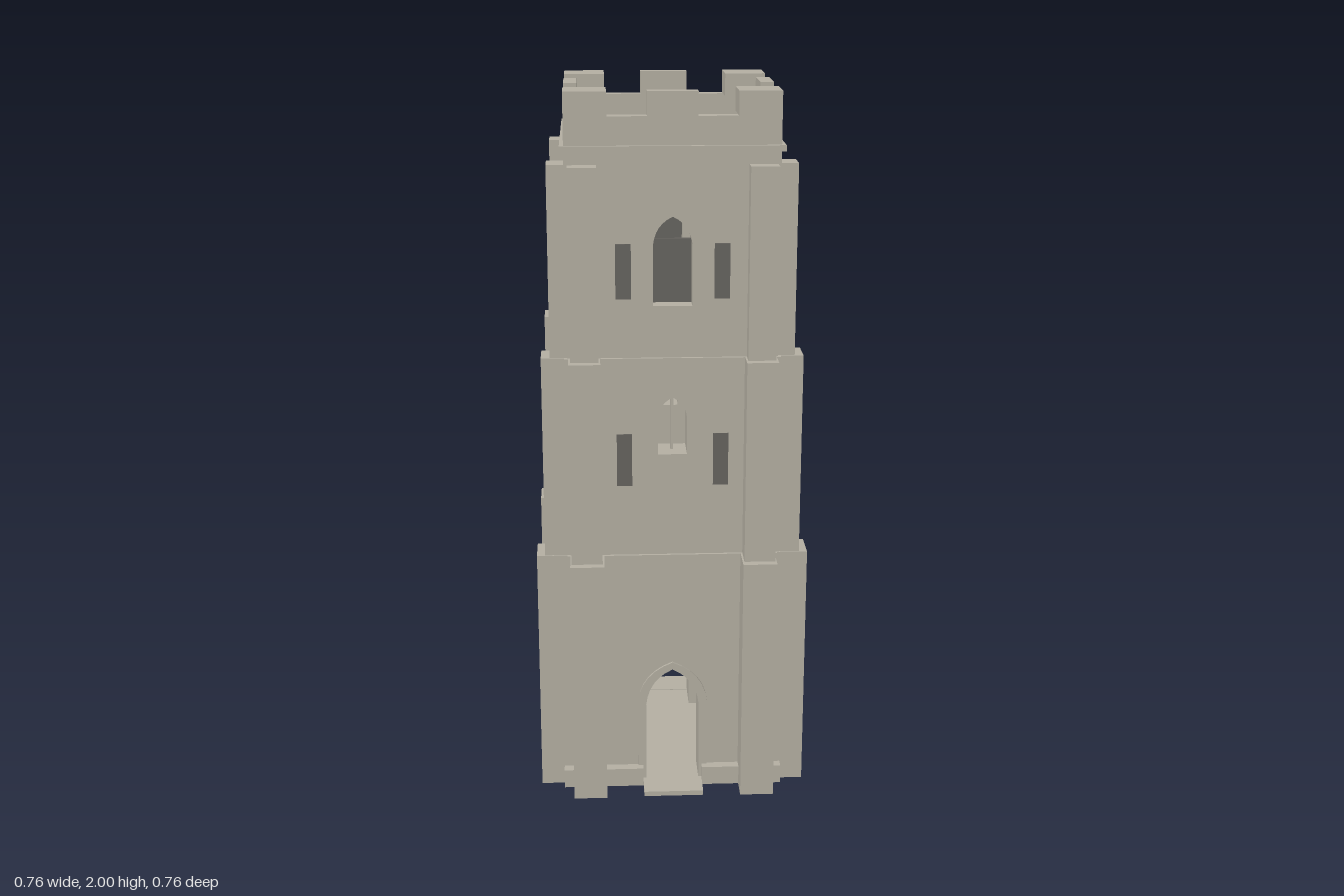
import * as THREE from 'three';

const stone = new THREE.MeshStandardMaterial({ color: 0xb4afa2 });
stone.name = 'stone';
const dark = new THREE.MeshStandardMaterial({ color: 0x66645f });
dark.name = 'dark slate';

const HALF = 0.287, INNER = 0.19, LEDGE = 1.86;

// Box given by its limits on each axis
function box(parent, name, x0, x1, y0, y1, z0, z1, mat = stone) {
  const mesh = new THREE.Mesh(new THREE.BoxGeometry(x1 - x0, y1 - y0, z1 - z0), mat);
  mesh.position.set((x0 + x1) / 2, (y0 + y1) / 2, (z0 + z1) / 2);
  mesh.name = name;
  parent.add(mesh);
}

// One strip of a square ring; four turned copies close the ring without overlap
function ringStrip(parent, name, outer, inner, y0, y1) {
  box(parent, name, -outer, inner, y0, y1, inner, outer);
}

// Pointed arch outline: half width, sill, springing and apex heights
function arch(path, w, sill, spring, apex) {
  const c = spring + (apex - spring) * 0.72;
  path.moveTo(-w, sill);
  path.lineTo(w, sill);
  path.lineTo(w, spring);
  path.quadraticCurveTo(w * 0.9, c, 0, apex);
  path.quadraticCurveTo(-w * 0.9, c, -w, spring);
  path.lineTo(-w, sill);
  return path;
}

function extrude(parent, name, shape, z0, z1) {
  const geo = new THREE.ExtrudeGeometry(shape, { depth: z1 - z0, bevelEnabled: false, curveSegments: 6 });
  const mesh = new THREE.Mesh(geo, stone);
  mesh.position.z = z0;
  mesh.name = name;
  parent.add(mesh);
}

function createSide(name, hasDoor, hasSlits) {
  const side = new THREE.Group();
  side.name = name;

  // Wall with its openings
  const wall = new THREE.Shape();
  wall.moveTo(-HALF, 0);
  wall.lineTo(INNER, 0);
  wall.lineTo(INNER, LEDGE);
  wall.lineTo(-HALF, LEDGE);
  wall.closePath();
  wall.holes.push(arch(new THREE.Path(), 0.053, 1.43, 1.595, 1.672));
  wall.holes.push(arch(new THREE.Path(), 0.04, 1.01, 1.115, 1.173));
  wall.holes.push(hasDoor
    ? arch(new THREE.Path(), 0.088, 0.006, 0.26, 0.37)
    : arch(new THREE.Path(), 0.018, 0.5, 0.645, 0.676));
  extrude(side, 'wall', wall, INNER, HALF);

  // Belfry louvre and window mullion
  box(side, 'louvre', -0.053, 0.053, 1.43, 1.605, 0.232, 0.241, dark);
  box(side, 'mullion', -0.004, 0.004, 1.01, 1.17, 0.232, 0.242);

  // Doorway surround, step and plinth
  if (hasDoor) {
    const surround = arch(new THREE.Shape(), 0.1, 0, 0.26, 0.382);
    surround.holes.push(arch(new THREE.Path(), 0.076, 0.006, 0.25, 0.36));
    extrude(side, 'doorSurround', surround, 0.183, 0.294);
    box(side, 'doorStep', -0.085, 0.085, 0, 0.014, 0.28, 0.377);
    for (const s of [-1, 1]) {
      const a = s * 0.085, b = s * 0.315;
      box(side, 'plinth', Math.min(a, b), Math.max(a, b), 0, 0.055, 0.28, 0.315);
    }
  } else {
    box(side, 'plinth', -0.28, 0.28, 0, 0.055, 0.28, 0.315);
  }

  // Narrow blind slits
  if (hasSlits) {
    for (const x of [-0.133, 0.133]) {
      for (const y of [0.92, 1.45]) {
        box(side, 'slit', x - 0.021, x + 0.021, y, y + 0.15, HALF - 0.004, HALF + 0.003, dark);
      }
    }
  }

  // Stepped buttresses: inner x, outer x, projection, bottom, top
  const stages = [
    [0.192, 0.287, 0.381, 0, 0.715],
    [0.197, 0.283, 0.358, 0.715, 1.287],
    [0.202, 0.278, 0.334, 1.287, 1.81],
  ];
  for (const [a, b, z, y0, y1] of stages) {
    box(side, 'buttress', a, b, y0, y1, 0.265, z);
    box(side, 'buttress', -b, -a, y0, y1, 0.265, z);
  }

  // String courses
  ringStrip(side, 'stringCourse', 0.295, 0.27, 0.7, 0.715);
  ringStrip(side, 'stringCourse', 0.295, 0.27, 1.272, 1.287);
  ringStrip(side, 'stringCourse', 0.298, 0.27, 1.844, LEDGE);

  // Parapet with a middle and a corner merlon
  ringStrip(side, 'parapet', HALF, 0.25, LEDGE, 1.936);
  box(side, 'merlon', -0.067, 0.067, 1.936, 2, 0.25, HALF);
  box(side, 'cornerMerlon', 0.173, HALF, 1.936, 2, 0.173, HALF);
  return side;
}

export function createModel() {
  const tower = new THREE.Group();
  tower.name = 'tower';
  ['frontSide', 'leftSide', 'backSide', 'rightSide'].forEach((name, i) => {
    const side = createSide(name, i % 2 === 0, i === 0);
    side.rotation.y = i * Math.PI / 2;
    tower.add(side);
  });
  box(tower, 'floor', -0.285, 0.285, 0, 0.012, -0.285, 0.285);
  return tower;
}
